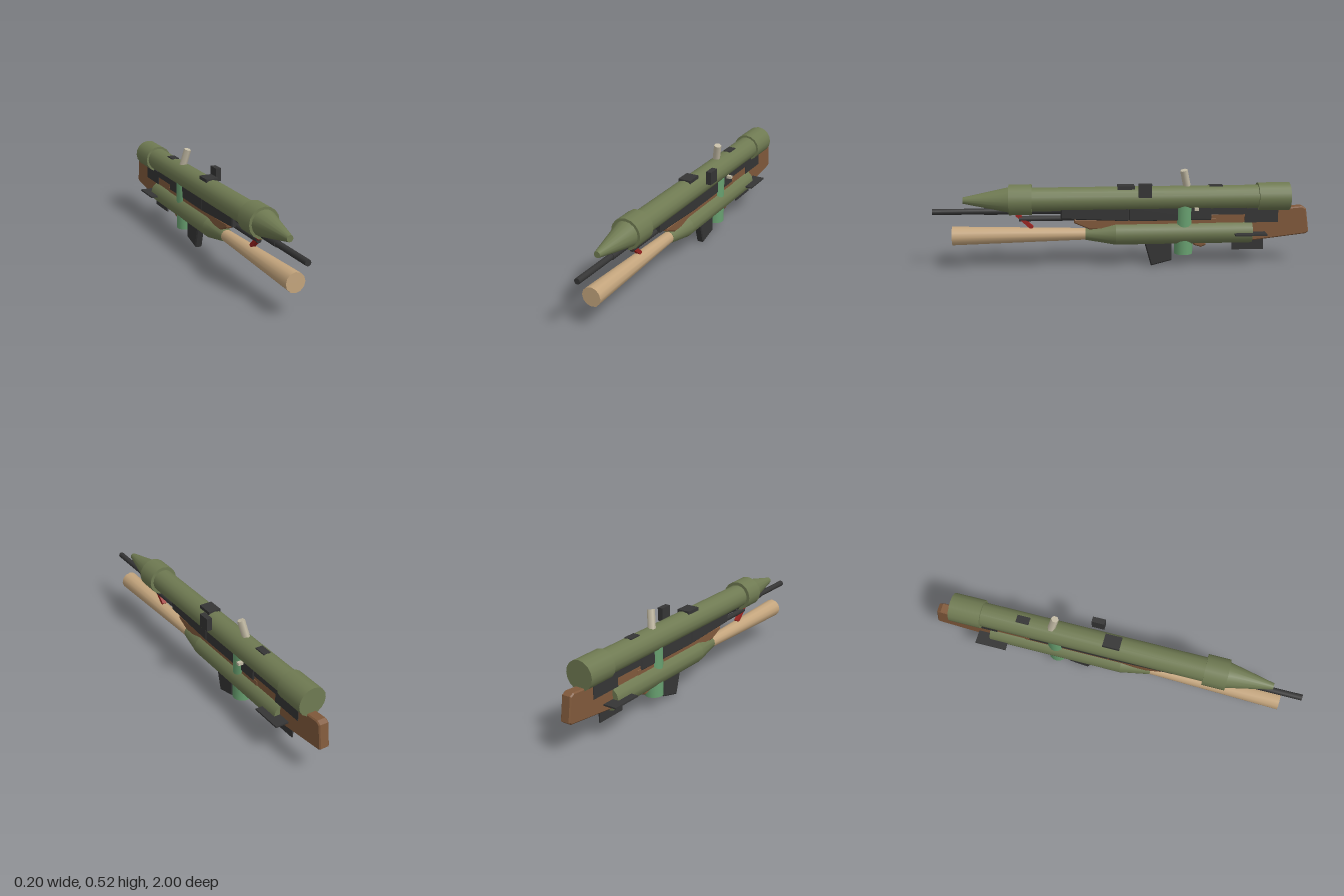
import * as THREE from 'three';

export function createModel() {
  const root = new THREE.Group();
  const mat = (name, color) => {
    const m = new THREE.MeshStandardMaterial({ color });
    m.name = name;
    return m;
  };
  const olive = mat('olive', 0x6f7a52), tan = mat('tan', 0xc4a57d), dark = mat('charcoal', 0x353535);
  const wood = mat('wood', 0x80593b), green = mat('green', 0x68a070), ivory = mat('ivory', 0xc4bca6);
  const red = mat('red', 0x9a2420);

  const add = (name, geo, material, x = 0, y = 0, z = 0) => {
    const mesh = new THREE.Mesh(geo, material);
    mesh.name = name;
    mesh.position.set(x, y, z);
    root.add(mesh);
    return mesh;
  };
  // Round section along z from z0 (back) to z1 (front)
  const rod = (name, material, y, z0, z1, r0, r1 = r0, sides = 16) =>
    add(name, new THREE.CylinderGeometry(r1, r0, z1 - z0, sides).rotateX(Math.PI / 2), material, 0, y, (z0 + z1) / 2);
  // Box from its limits on each axis
  const box = (name, material, x0, x1, y0, y1, z0, z1) =>
    add(name, new THREE.BoxGeometry(x1 - x0, y1 - y0, z1 - z0), material, (x0 + x1) / 2, (y0 + y1) / 2, (z0 + z1) / 2);
  // Side profile of [z, y] points, extruded across x with a small bevel
  const profile = (name, material, points, halfWidth, bevel = 0.006) => {
    const shape = new THREE.Shape(points.map(([z, y]) => new THREE.Vector2(-z, y)));
    const geo = new THREE.ExtrudeGeometry(shape, {
      depth: 2 * (halfWidth - bevel), bevelSize: bevel, bevelThickness: bevel, bevelOffset: -bevel, bevelSegments: 1,
    });
    geo.translate(0, 0, bevel - halfWidth).rotateY(Math.PI / 2);
    return add(name, geo, material);
  };

  // Upper launch tube
  rod('launchTube', olive, 0.37, -0.88, 0.5, 0.064);
  rod('rearCollar', olive, 0.37, -0.89, -0.72, 0.076);
  rod('frontCollar', olive, 0.37, 0.48, 0.6, 0.082);
  rod('noseCone', olive, 0.37, 0.6, 0.84, 0.068, 0.017);
  box('topPlateFront', dark, -0.035, 0.035, 0.415, 0.44, -0.06, 0.03);
  box('topPlateRear', dark, -0.02, 0.02, 0.42, 0.436, -0.53, -0.46);
  box('sideSight', dark, 0.071, 0.101, 0.39, 0.461, -0.145, -0.077);

  // Tilted lever on the tube
  const lever = add('lever', new THREE.CylinderGeometry(0.027, 0.027, 0.14, 6), ivory, 0, 0.452, -0.336);
  lever.scale.set(0.75, 1, 0.75);
  lever.rotation.set(0.22, 0, -0.2);
  box('sideKnob', ivory, 0.045, 0.072, 0.31, 0.325, -0.395, -0.375);

  // Lower rocket with stabilising fins
  rod('rocketBody', olive, 0.18, -0.69, 0.04, 0.063, 0.063, 12);
  rod('rocketTaper', olive, 0.18, 0.04, 0.2, 0.063, 0.033, 12);
  rod('rocketNose', tan, 0.18, 0.2, 0.9, 0.032, 0.051, 12);
  box('horizontalFin', dark, -0.101, 0.101, 0.176, 0.184, -0.76, -0.59);
  box('verticalFin', dark, -0.004, 0.004, 0.08, 0.28, -0.76, -0.59);

  // Canister standing through the rocket
  add('canister', new THREE.CylinderGeometry(0.05, 0.05, 0.285, 16), green, 0, 0.2075, -0.325);

  // Rifle barrel and gas tube
  rod('barrel', dark, 0.31, 0.2, 1.0, 0.016, 0.016, 12);
  rod('barrelSleeve', dark, 0.31, 0.3, 0.73, 0.019, 0.019, 12);
  rod('gasTube', dark, 0.268, 0.2, 0.55, 0.015, 0.015, 10);
  const brace = box('frontBrace', red, -0.012, 0.012, 0.2, 0.31, 0.511, 0.531);
  brace.rotation.x = 0.82;

  // Receiver and magazine
  profile('frontReceiver', dark, [[0.33, 0.268], [0.33, 0.325], [-0.03, 0.325], [-0.03, 0.25]], 0.035);
  profile('rearReceiver', dark, [[-0.03, 0.25], [-0.03, 0.325], [-0.47, 0.325], [-0.47, 0.25]], 0.035);
  profile('magazine', dark, [[-0.08, 0.25], [-0.26, 0.25], [-0.26, 0.03], [-0.15, 0.002]], 0.021);

  // Wooden furniture
  profile('handguard', wood, [[0.26, 0.245], [0.26, 0.265], [-0.5, 0.265], [-0.5, 0.21], [0.18, 0.21]], 0.031);
  profile('stock', wood, [
    [-0.44, 0.215], [-0.44, 0.28], [-0.8, 0.305], [-0.96, 0.318], [-0.982, 0.305],
    [-1.0, 0.18], [-0.985, 0.168], [-0.7, 0.135],
  ], 0.028);
  profile('pistolGrip', wood, [[-0.34, 0.23], [-0.41, 0.23], [-0.445, 0.112], [-0.42, 0.1], [-0.38, 0.112]], 0.02);
  box('cheekPad', dark, -0.031, 0.031, 0.235, 0.31, -0.83, -0.65);
  box('stockBracket', dark, -0.031, 0.031, 0.28, 0.32, -0.66, -0.47);

  return root;
}
